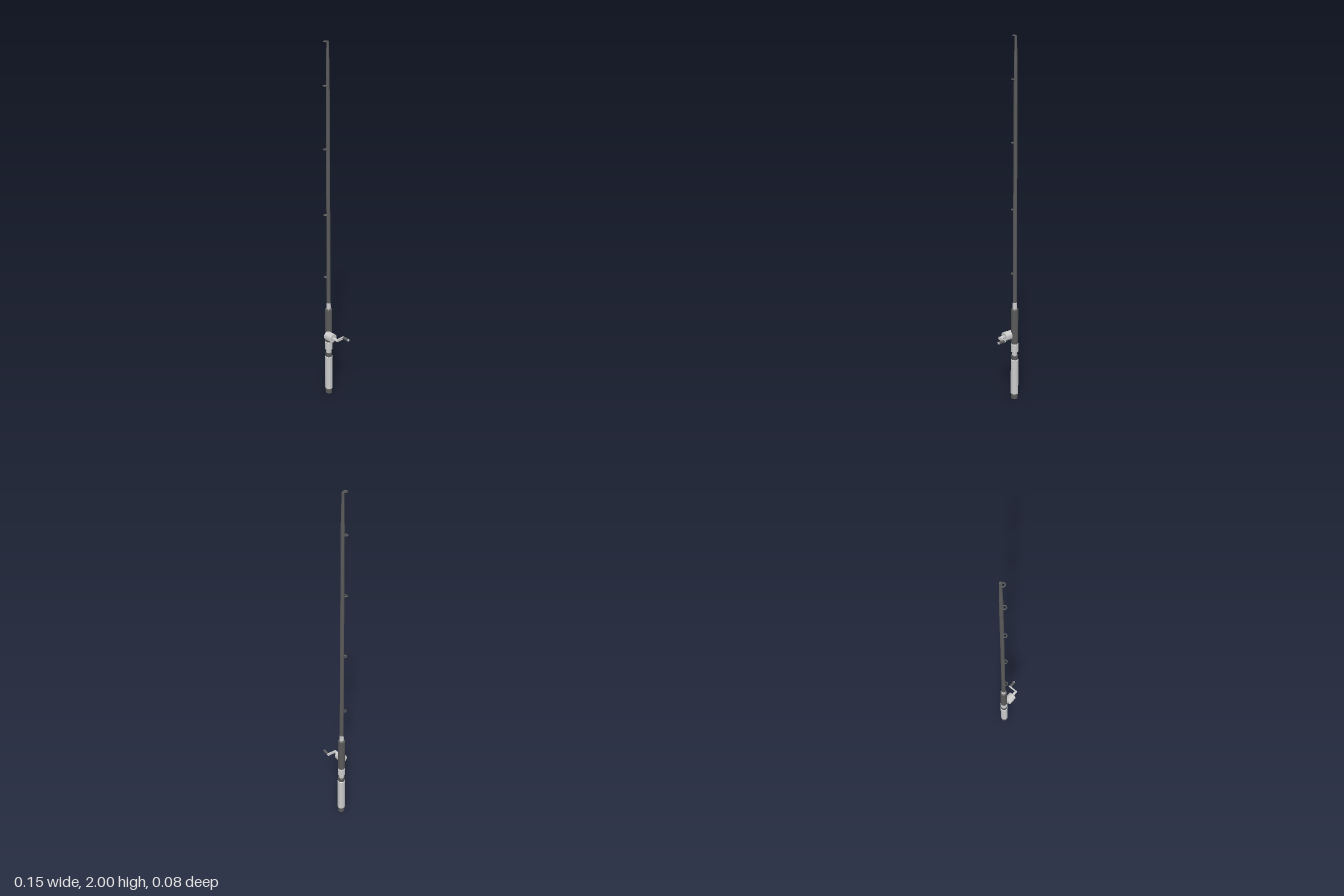
import * as THREE from 'three';
import { toCreasedNormals } from 'three/addons/utils/BufferGeometryUtils.js';

const light = new THREE.MeshStandardMaterial({ color: 0xcccccc });
const dark = new THREE.MeshStandardMaterial({ color: 0x5a5a5a });
const ROD_X = -0.055, ROD_Z = -0.006;   // rod axis
const REEL_Y = 0.392, REEL_Z = 0.0135;  // reel axis
const KNOB_Z = -0.033;

export function createModel() {
  const model = new THREE.Group();
  model.name = 'fishingRod';

  const add = (name, geometry, material, x = 0, y = 0, z = 0, parent = model) => {
    const mesh = new THREE.Mesh(geometry, material);
    mesh.name = name;
    mesh.position.set(x, y, z);
    parent.add(mesh);
    return mesh;
  };

  // Turned solid around y with chamfered rims and crisp edges
  const turned = (y0, y1, r0, r1, bevel, segments = 24) => {
    const profile = [[0, y0], [r0 - bevel, y0], [r0, y0 + bevel], [r1, y1 - bevel], [r1 - bevel, y1], [0, y1]]
      .map(([r, y]) => new THREE.Vector2(r, y));
    return toCreasedNormals(new THREE.LatheGeometry(profile, segments), 0.5);
  };

  // Upright section on the rod axis
  const section = (name, y0, y1, r0, r1, material, bevel = 0.0015) =>
    add(name, turned(y0, y1, r0, r1, bevel), material, ROD_X, 0, ROD_Z);

  // Handle, from the butt up
  section('buttCap', 0, 0.032, 0.0185, 0.0195, dark);
  section('rearGrip', 0.03, 0.248, 0.0215, 0.0215, light, 0.004);
  section('gripCollar', 0.246, 0.272, 0.019, 0.019, dark);
  section('seatNeck', 0.27, 0.3, 0.0145, 0.0145, light);
  section('seatSleeve', 0.293, 0.342, 0.021, 0.021, light);
  section('foreGrip', 0.34, 0.552, 0.0195, 0.0195, dark, 0.005);
  section('ferrule', 0.55, 0.59, 0.0125, 0.0115, light);

  // Blank with a finer tip
  section('blank', 0.588, 1.83, 0.0112, 0.0095, dark, 0.0005);
  section('blankTip', 1.829, 1.998, 0.0095, 0.006, dark, 0.0005);

  // Line guides: flat rings standing off the front of the blank
  for (const y of [0.751, 1.111, 1.466, 1.786, 1.997]) {
    const tip = y > 1.9;
    const ring = add(tip ? 'tipGuide' : 'lineGuide', new THREE.TorusGeometry(0.009, 0.003, 8, 24), dark,
      ROD_X, y, ROD_Z + (tip ? 0.0135 : 0.0185));
    ring.rotation.x = Math.PI / 2;
  }

  // Turned solid lying along x from x0 to x1
  const barrel = (name, x0, x1, r, z, material, segments = 24) =>
    add(name, turned(x0, x1, r, r, 0.001, segments).rotateZ(-Math.PI / 2), material, 0, REEL_Y, z);

  barrel('reelDrum', -0.047, 0.0035, 0.025, REEL_Z, light, 32);

  // Crank: axle, flat arm and knob
  barrel('crankAxle', 0.002, 0.038, 0.008, REEL_Z, light);
  const arm = new THREE.Shape();
  arm.absarc(-REEL_Z, 0, 0.008, Math.PI / 2, Math.PI * 1.5, false);
  arm.absarc(-KNOB_Z, 0, 0.008, -Math.PI / 2, Math.PI / 2, false);
  const armGeometry = new THREE.ExtrudeGeometry(arm, { depth: 0.006, bevelEnabled: false, curveSegments: 12 });
  add('crankArm', armGeometry.rotateY(Math.PI / 2), light, 0.032, REEL_Y, 0);
  barrel('knobGrip', 0.037, 0.074, 0.008, KNOB_Z, dark);
  barrel('knobCap', 0.073, 0.0765, 0.0078, KNOB_Z, light);

  return model;
}
